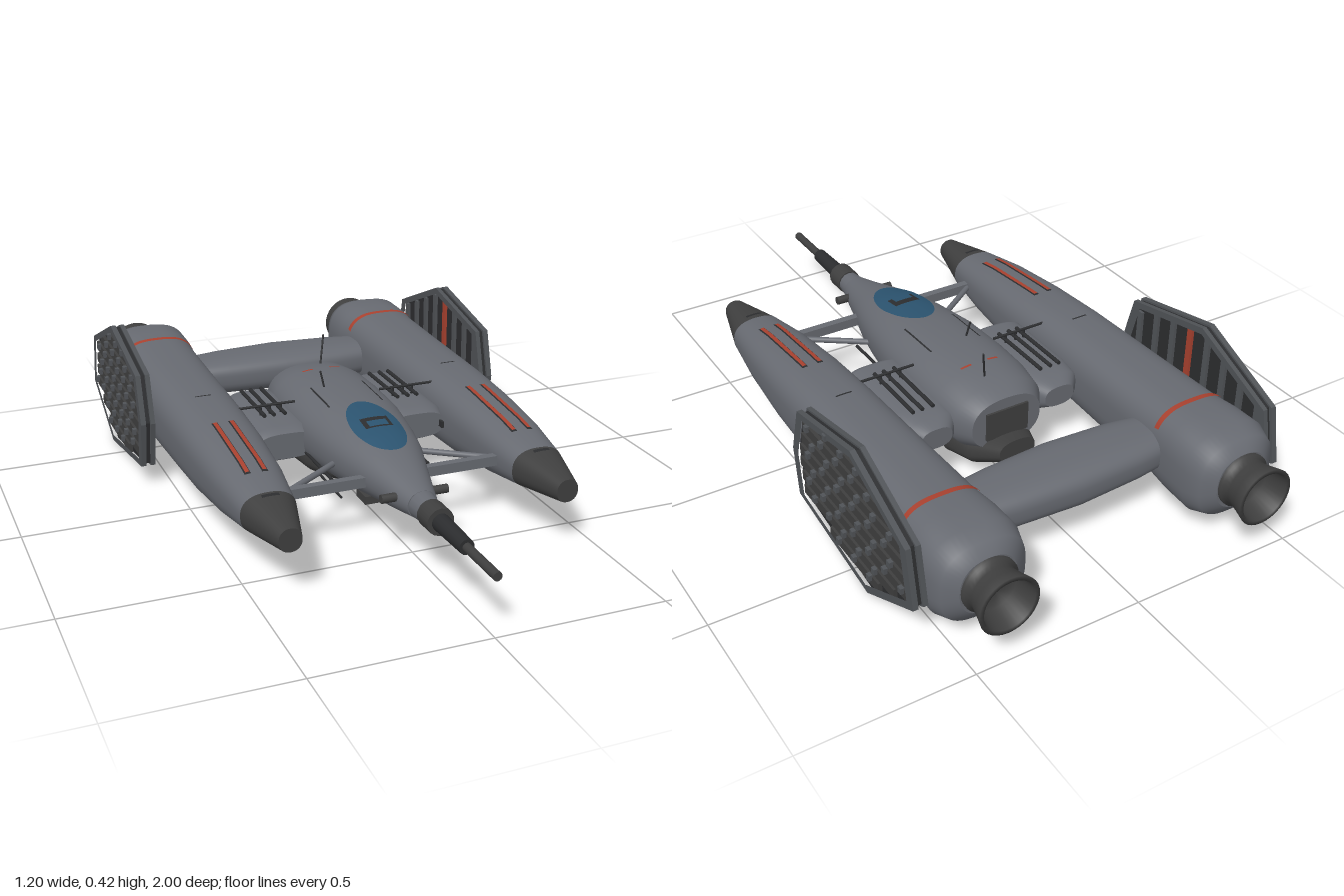
import * as THREE from 'three';

const mat = (name, color, double) => {
  const m = new THREE.MeshStandardMaterial({ color });
  m.name = name;
  if (double) m.side = THREE.DoubleSide;
  return m;
};

export function createModel() {
  const root = new THREE.Group();
  const hull = mat('hull grey', 0x676a71);
  const dark = mat('dark metal', 0x3f3f3f, true);
  const frame = mat('panel frame grey', 0x505357);
  const black = mat('black slat', 0x2c2d2f);
  const red = mat('red marking', 0xa8412f);
  const glass = mat('blue canopy', 0x2b536f);

  const add = (name, geo, m, parent = root) => {
    const mesh = new THREE.Mesh(geo, m);
    mesh.name = name;
    parent.add(mesh);
    return mesh;
  };
  const box = (name, m, w, h, d, x, y, z, parent) => {
    const b = add(name, new THREE.BoxGeometry(w, h, d), m, parent);
    b.position.set(x, y, z);
    return b;
  };
  const rod = (name, m, a, b, r, parent, r2 = r) => {
    const p = new THREE.Vector3(...a), q = new THREE.Vector3(...b);
    const c = add(name, new THREE.CylinderGeometry(r2, r, p.distanceTo(q), 14), m, parent);
    c.position.copy(p).add(q).multiplyScalar(0.5);
    c.quaternion.setFromUnitVectors(new THREE.Vector3(0, 1, 0), q.sub(p).normalize());
    return c;
  };

  // Loft of rounded cross-sections [z, halfWidth, top, bottom, roundness], front to back
  const N = 48;
  const loft = (secs, cx) => {
    const pos = [], idx = [];
    const ring = ([z, w, t, b, n]) => {
      for (let j = 0; j < N; j++) {
        const a = (j / N) * Math.PI * 2, c = Math.cos(a), s = Math.sin(a);
        const k = (v) => Math.sign(v) * Math.pow(Math.abs(v), 2 / n);
        pos.push(cx + w * k(c), (t + b) / 2 + (t - b) / 2 * k(s), z);
      }
    };
    secs.forEach(ring);
    for (let i = 0; i < secs.length - 1; i++) for (let j = 0; j < N; j++) {
      const f = i * N + j, f1 = i * N + (j + 1) % N;
      idx.push(f, f + N, f1, f + N, f1 + N, f1);
    }
    // Flat end caps with their own vertices
    [secs[0], secs[secs.length - 1]].forEach((s, e) => {
      const o = pos.length / 3;
      ring(s);
      pos.push(cx, (s[2] + s[3]) / 2, s[0]);
      for (let j = 0; j < N; j++) {
        const a = o + j, b = o + (j + 1) % N;
        idx.push(o + N, e ? b : a, e ? a : b);
      }
    });
    const g = new THREE.BufferGeometry();
    g.setAttribute('position', new THREE.Float32BufferAttribute(pos, 3));
    g.setIndex(idx);
    g.computeVertexNormals();
    return g;
  };
  // Lays a flat shape over the top of a loft
  const drape = (geo, secs, cx, x, z, lift = 0.004) => {
    geo.rotateX(-Math.PI / 2).translate(x, 0, z);
    const p = geo.attributes.position;
    for (let i = 0; i < p.count; i++) {
      const pz = p.getZ(i);
      let k = 0;
      while (k < secs.length - 2 && secs[k + 1][0] > pz) k++;
      const f = (secs[k][0] - pz) / (secs[k][0] - secs[k + 1][0]);
      const [, w, t, b, n] = secs[k].map((v, q) => v + (secs[k + 1][q] - v) * f);
      const u = Math.min(1, Math.abs((p.getX(i) - cx) / w));
      p.setY(i, (t + b) / 2 + (t - b) / 2 * Math.pow(1 - Math.pow(u, n), 1 / n) + lift);
    }
    geo.computeVertexNormals();
    return geo;
  };

  // Fuselage
  const body = [
    [0.56, 0.045, 0.222, 0.14, 2], [0.5, 0.062, 0.235, 0.132, 2.1], [0.4, 0.09, 0.262, 0.12, 2.2],
    [0.3, 0.12, 0.285, 0.11, 2.3], [0.2, 0.14, 0.3, 0.1, 2.3], [0.06, 0.16, 0.312, 0.092, 2.4],
    [-0.1, 0.166, 0.316, 0.09, 2.4], [-0.22, 0.163, 0.314, 0.09, 2.4], [-0.31, 0.148, 0.303, 0.1, 2.4],
    [-0.36, 0.115, 0.28, 0.12, 2.4]];
  add('fuselage', loft(body, 0), hull);
  box('rearGrille', dark, 0.14, 0.09, 0.01, 0, 0.2, -0.362);
  const pod = [[0.16, 0.05, 0.13, 0.09, 2.4], [0.08, 0.09, 0.14, 0.06, 2.6], [-0.06, 0.112, 0.14, 0.03, 2.8],
    [-0.2, 0.115, 0.14, 0.012, 2.8], [-0.32, 0.105, 0.15, 0.045, 2.6], [-0.42, 0.06, 0.17, 0.1, 2.4]];
  add('bellyPod', loft(pod, 0), dark);

  // Canopy with its dark frame and the hull markings
  add('canopy', drape(new THREE.RingGeometry(0.001, 1, 48, 8).scale(0.075, 0.142, 1), body, 0, 0, 0.235), glass);
  add('canopyBar', drape(new THREE.PlaneGeometry(0.085, 0.055, 8, 4), body, 0, 0, 0.235, 0.008), black);
  add('canopyWindow', drape(new THREE.PlaneGeometry(0.06, 0.03, 8, 4), body, 0, 0, 0.245, 0.011), glass);
  for (const s of [-1, 1]) {
    add('hullMark', drape(new THREE.PlaneGeometry(0.035, 0.008, 4, 1), body, 0, s * 0.045, -0.21), red);
    add('spineSeam', drape(new THREE.PlaneGeometry(0.005, 0.16, 1, 6), body, 0, s * 0.085, 0.0, 0.003), black);
  }

  // Nose gun
  rod('gunHousing', hull, [0, 0.18, 0.53], [0, 0.18, 0.61], 0.046, root, 0.036);
  rod('gunCollar', dark, [0, 0.18, 0.61], [0, 0.18, 0.675], 0.04);
  rod('gunSleeve', black, [0, 0.18, 0.67], [0, 0.18, 0.83], 0.026, root, 0.022);
  rod('gunBarrel', dark, [0, 0.18, 0.82], [0, 0.18, 1], 0.013);

  // Chin turret and antennas
  rod('turretMount', dark, [0, 0.11, 0.2], [0, 0.06, 0.2], 0.018);
  box('chinTurret', dark, 0.065, 0.025, 0.07, 0, 0.055, 0.2);
  rod('turretBarrel', black, [0, 0.077, 0.28], [0, 0.077, 0.08], 0.005);
  rod('antenna', black, [0.02, 0.31, -0.27], [0.038, 0.4, -0.29], 0.003);
  rod('antenna', black, [-0.045, 0.3, -0.06], [-0.056, 0.362, -0.07], 0.003);

  // Rear connecting beam: rounded tube along x
  const beam = [[0.3, 0.085, 0.245, 0.135, 2.8], [0.2, 0.098, 0.25, 0.13, 2.8], [0, 0.108, 0.255, 0.125, 2.8],
    [-0.2, 0.098, 0.25, 0.13, 2.8], [-0.3, 0.085, 0.245, 0.135, 2.8]];
  add('rearBeam', loft(beam, 0).rotateY(Math.PI / 2), hull).position.z = -0.635;

  // Engine nacelle cross-sections and panel outline (u = -z, y)
  const nac = [
    [0.635, 0.033, 0.218, 0.15, 2.2], [0.46, 0.08, 0.246, 0.126, 2.4], [0.3, 0.1, 0.272, 0.105, 2.6],
    [0.1, 0.113, 0.29, 0.088, 2.8], [-0.1, 0.119, 0.302, 0.08, 2.8], [-0.45, 0.125, 0.308, 0.07, 2.9],
    [-0.66, 0.13, 0.313, 0.064, 2.9], [-0.74, 0.138, 0.319, 0.056, 2.9], [-0.83, 0.14, 0.32, 0.052, 2.9],
    [-0.88, 0.125, 0.305, 0.068, 2.7], [-0.905, 0.085, 0.272, 0.102, 2.3]];
  const poly = [[0.535, 0.43], [0.815, 0.31], [0.85, 0.14], [0.605, 0.01], [0.21, 0.075], [0.185, 0.22], [0.225, 0.365]];
  const inset = (k) => poly.map(([u, y]) => new THREE.Vector2(0.515 + (u - 0.515) * k, 0.22 + (y - 0.22) * k));
  const plate = (outer, hole, depth, x) => {
    const sh = new THREE.Shape(inset(outer));
    if (hole) sh.holes.push(new THREE.Path(inset(hole)));
    return new THREE.ExtrudeGeometry(sh, { depth, bevelEnabled: false }).rotateY(Math.PI / 2).translate(x - depth / 2, 0, 0);
  };
  // Extent of the inner panel along one axis at a fixed value of the other
  const span = (v, along, across) => {
    const p = inset(0.9), hits = [];
    p.forEach((a, i) => {
      const b = p[(i + 1) % p.length];
      if ((a[across] - v) * (b[across] - v) < 0)
        hits.push(a[along] + (b[along] - a[along]) * (v - a[across]) / (b[across] - a[across]));
    });
    return hits.length < 2 ? null : [Math.min(...hits), Math.max(...hits)];
  };

  for (const s of [-1, 1]) {
    const cx = s * 0.407;
    // Nacelle with dark tip, nozzle and red markings
    const n = new THREE.Group();
    n.name = 'nacelle';
    root.add(n);
    add('nacelleTip', loft(nac.slice(0, 2), cx), dark, n);
    add('nacelleBody', loft(nac.slice(1), cx), hull, n);
    const nozzle = [[0.001, 0.04], [0.06, 0.04], [0.075, 0.105], [0.088, 0.105], [0.078, 0.07], [0.071, 0.04],
      [0.071, 0.02], [0.082, 0.02], [0.082, 0]].map((p) => new THREE.Vector2(...p));
    add('nozzle', new THREE.LatheGeometry(nozzle, 32).rotateX(-Math.PI / 2).translate(cx, 0.19, -0.895), dark, n);
    for (const dx of [-0.025, 0.025]) {
      add('longStripe', drape(new THREE.PlaneGeometry(0.018, 0.31, 2, 16), nac, cx, cx + dx, 0.21, 0.003), black, n);
      add('longStripeCore', drape(new THREE.PlaneGeometry(0.012, 0.3, 2, 16), nac, cx, cx + dx, 0.21, 0.006), red, n);
    }
    add('rearBand', drape(new THREE.PlaneGeometry(0.245, 0.018, 40, 2), nac, cx, cx, -0.68), red, n);
    add('hatch', drape(new THREE.PlaneGeometry(0.05, 0.006, 4, 1), nac, cx, cx, -0.14), black, n);
    add('tipVent', drape(new THREE.PlaneGeometry(0.05, 0.012, 4, 1), nac, cx, cx, 0.48), black, n);
    box('keelFairing', dark, 0.06, 0.025, 0.22, cx, 0.083, 0.05, n);
    box('sideVent', black, 0.008, 0.02, 0.12, cx - s * 0.118, 0.19, 0.02, n);

    // Wing root between fuselage and nacelle, with rods and rail
    const wing = [[0.06, 0.09, 0.23, 0.15, 3], [0.03, 0.1, 0.247, 0.135, 3], [-0.22, 0.1, 0.25, 0.13, 3],
      [-0.29, 0.085, 0.245, 0.14, 3], [-0.325, 0.05, 0.225, 0.16, 2.6]];
    add('wingRoot', loft(wing, s * 0.21), hull);
    for (const x of [0.185, 0.22, 0.25]) {
      rod('wingRod', black, [s * x, 0.258, -0.26], [s * x, 0.258, -0.03], 0.006);
      rod('railPost', black, [s * x, 0.24, -0.07], [s * x, 0.276, -0.07], 0.004);
    }
    rod('rail', black, [s * 0.14, 0.276, -0.07], [s * 0.32, 0.276, -0.07], 0.004);

    // Front struts and cheek sensors
    box('frontStrut', hull, 0.25, 0.03, 0.024, s * 0.21, 0.188, 0.372);
    rod('diagonalStrut', hull, [s * 0.32, 0.19, 0.365], [s * 0.13, 0.19, 0.23], 0.009);
    rod('cheekSensor', dark, [s * 0.05, 0.19, 0.505], [s * 0.1, 0.19, 0.505], 0.013);
    rod('sideGun', black, [s * 0.152, 0.16, 0.27], [s * 0.152, 0.16, 0.05], 0.005);
    rod('bellySkid', black, [s * 0.055, 0.012, 0.1], [s * 0.055, 0.012, -0.2], 0.004);

    // Radiator panel
    const p = new THREE.Group();
    p.name = 'radiatorPanel';
    root.add(p);
    add('outerFrame', plate(1, 0.9, 0.016, s * 0.584), frame, p);
    add('innerFrame', plate(1, 0.9, 0.014, s * 0.555), frame, p);
    add('panelCore', plate(0.97, 0, 0.014, s * 0.569), black, p);
    for (let i = 0; i < 8; i++) {
      const y = 0.065 + i * 0.044, e = span(y, 'x', 'y');
      if (!e) continue;
      box('outerSlat', dark, 0.012, 0.03, e[1] - e[0], s * 0.582, y, -(e[0] + e[1]) / 2, p);
      for (let z = 0.28; z < 0.8; z += 0.085) {
        const q = z + (i % 2) * 0.03;
        if (q > e[0] + 0.02 && q < e[1] - 0.02) box('slatClamp', frame, 0.012, 0.018, 0.016, s * 0.592, y + 0.012, -q, p);
      }
    }
    for (let i = 0; i < 8; i++) {
      const u = 0.25 + i * 0.076, e = span(u, 'y', 'x');
      if (e) box('innerRib', i === 3 ? red : frame, 0.01, e[1] - e[0], 0.02, s * 0.558, (e[0] + e[1]) / 2, -u, p);
    }
    for (const z of [-0.52, -0.7]) box('panelMount', dark, 0.06, 0.05, 0.05, s * 0.535, 0.19, z, p);
  }
  return root;
}
